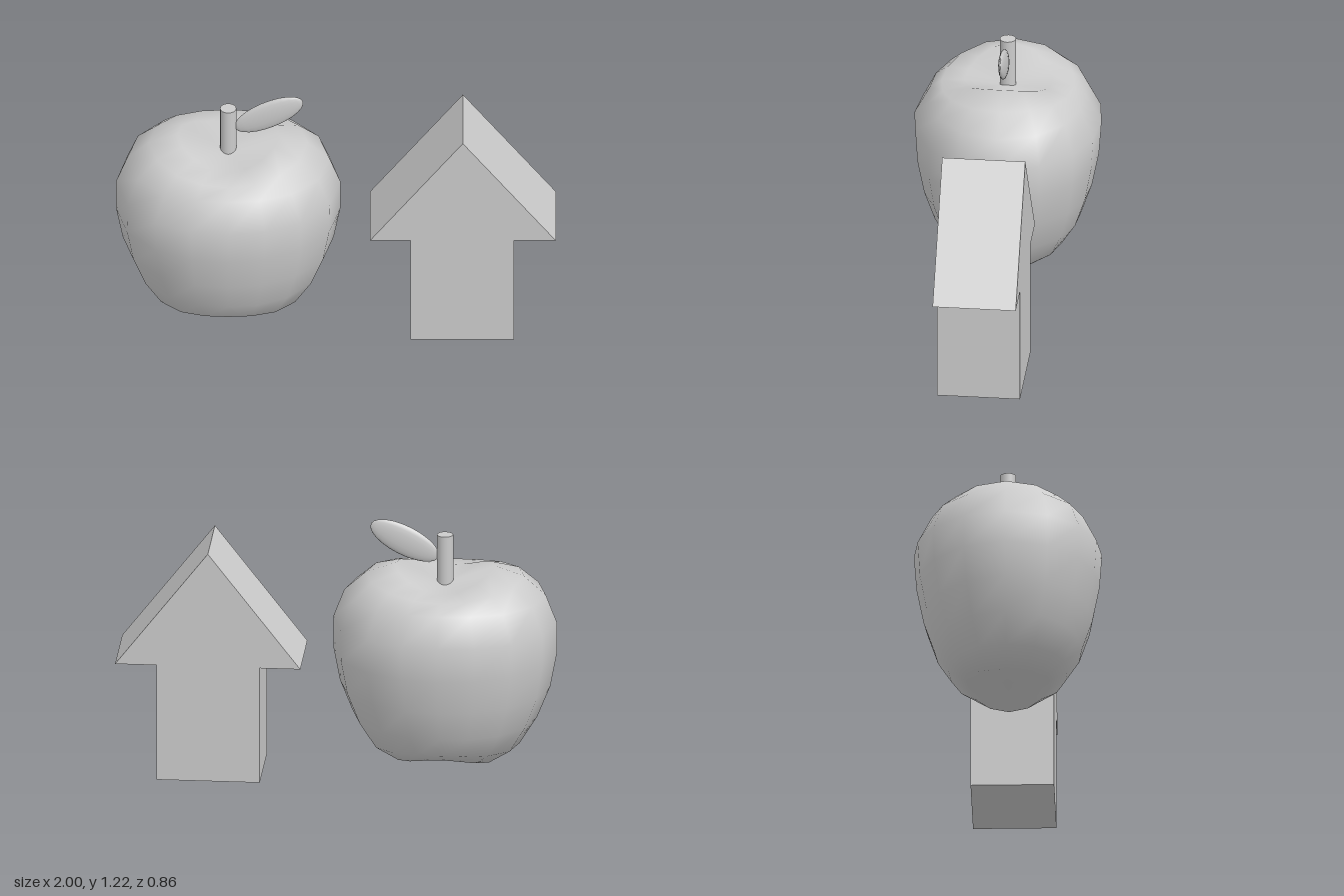
import * as THREE from 'three';

const material = () => new THREE.MeshStandardMaterial({ color: 0xcccccc });

// Rings from top to bottom: side radius, side height, front radius, front height
const RINGS = [
  [0.23, 1.015, 0.20, 0.94],
  [0.36, 0.97, 0.303, 0.932],
  [0.46, 0.88, 0.358, 0.89],
  [0.51, 0.75, 0.428, 0.758],
  [0.51, 0.60, 0.416, 0.593],
  [0.48, 0.44, 0.384, 0.43],
  [0.42, 0.29, 0.335, 0.285],
  [0.34, 0.16, 0.27, 0.184],
  [0.23, 0.085, 0.19, 0.135],
];

// Apple body: rings blend between the side and front profiles around the axis
function appleGeometry(segments = 16) {
  const positions = [0, 0.925, 0];
  for (const [rSide, ySide, rFront, yFront] of RINGS) {
    for (let i = 0; i < segments; i++) {
      const a = (i / segments) * Math.PI * 2;
      const t = Math.cos(a) ** 2;
      const r = THREE.MathUtils.lerp(rFront, rSide, t);
      positions.push(r * Math.cos(a), THREE.MathUtils.lerp(yFront, ySide, t), r * Math.sin(a));
    }
  }
  positions.push(0, 0.125, 0);
  const last = positions.length / 3 - 1;
  const at = (ring, i) => 1 + ring * segments + (i % segments);
  const index = [];
  for (let i = 0; i < segments; i++) {
    index.push(0, at(0, i + 1), at(0, i));
    for (let k = 0; k < RINGS.length - 1; k++) {
      const a = at(k, i), b = at(k, i + 1), c = at(k + 1, i + 1), d = at(k + 1, i);
      index.push(a, b, c, a, c, d);
    }
    index.push(last, at(RINGS.length - 1, i), at(RINGS.length - 1, i + 1));
  }
  const geometry = new THREE.BufferGeometry();
  geometry.setAttribute('position', new THREE.Float32BufferAttribute(positions, 3));
  geometry.setIndex(index);
  geometry.computeVertexNormals();
  return geometry;
}

function createApple() {
  const apple = new THREE.Group();
  apple.name = 'apple';
  apple.position.x = -0.49;

  const body = new THREE.Mesh(appleGeometry(), material());
  body.name = 'appleBody';

  const stem = new THREE.Mesh(new THREE.CylinderGeometry(0.037, 0.037, 0.24, 16), material());
  stem.name = 'stem';
  stem.position.y = 1.04;

  // Flat, tilted leaf touching the stem
  const leafShape = new THREE.SphereGeometry(1, 16, 12);
  leafShape.rotateZ(Math.PI / 2);
  leafShape.scale(0.172, 0.07, 0.02);
  const leaf = new THREE.Mesh(leafShape, material());
  leaf.name = 'leaf';
  leaf.position.set(0.185, 1.125, 0);
  leaf.rotation.z = 0.47;

  apple.add(body, stem, leaf);
  return apple;
}

// Solid upward arrow: square shaft with a triangular head
function createArrow() {
  const outline = [
    [0.34, 0], [0.81, 0], [0.81, 0.555], [1, 0.555],
    [0.577, 1.1], [0.155, 0.555], [0.34, 0.555],
  ].map(([x, y]) => new THREE.Vector2(x, y));
  const depth = 0.38;
  const geometry = new THREE.ExtrudeGeometry(new THREE.Shape(outline), { depth, bevelEnabled: false });
  geometry.translate(0, 0, -depth / 2);
  const arrow = new THREE.Mesh(geometry, material());
  arrow.name = 'upArrow';
  return arrow;
}

export function createModel() {
  const model = new THREE.Group();
  model.name = 'appleAndArrow';
  model.add(createApple(), createArrow());
  return model;
}
